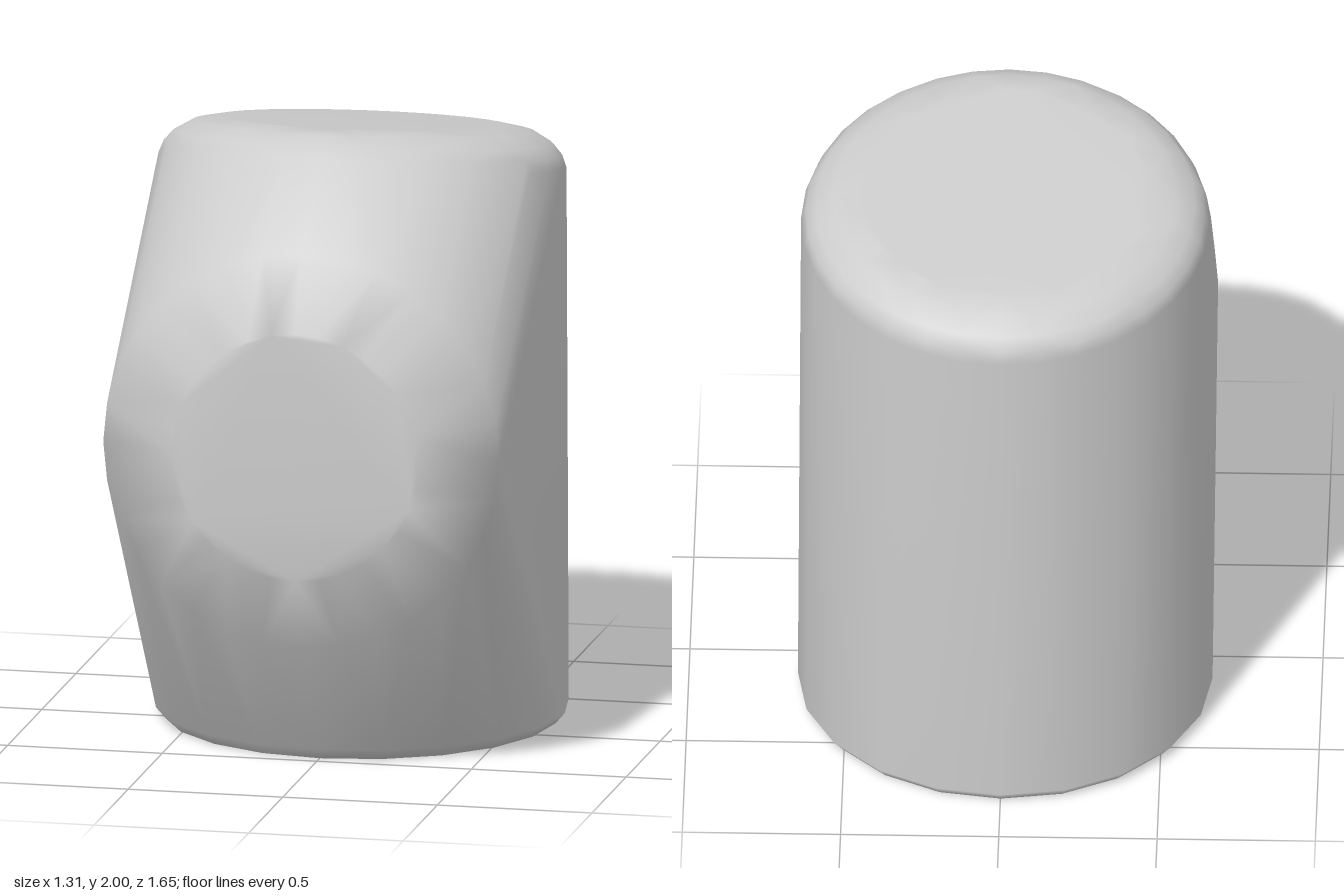
import * as THREE from 'three';
import { ConvexGeometry } from 'three/addons/geometries/ConvexGeometry.js';
import { mergeVertices } from 'three/addons/utils/BufferGeometryUtils.js';

// Circle of points around a centre, spanned by x and a forward direction in the yz plane
function ring(radius, segments, y, z, forwardY, forwardZ) {
  return Array.from({ length: segments }, (_, i) => {
    const a = (i / segments) * Math.PI * 2;
    const f = Math.cos(a) * radius;
    return new THREE.Vector3(Math.sin(a) * radius, y + f * forwardY, z + f * forwardZ);
  });
}

export function createModel() {
  const group = new THREE.Group();
  const points = [];

  // Upright round base with a small chamfer
  for (const [r, y] of [[0.625, 0], [0.655, 0.035]]) points.push(...ring(r, 20, y, -0.167, 0, 1));

  // Tilted round cap with a soft rim: [radius, depth below the cap plane]
  const tilt = 0.168, c = Math.cos(tilt), s = Math.sin(tilt);
  for (const [r, d] of [[0.46, 0], [0.54, 0.015], [0.6, 0.05], [0.63, 0.085], [0.645, 0.125]]) {
    points.push(...ring(r, 32, 1.92 - d * c, -0.19 + d * s, s, c));
  }

  // Forward-facing round nose: [radius, z]
  for (const [r, z] of [[0.4, 0.825], [0.64, 0.73], [0.655, 0.55]]) points.push(...ring(r, 32, 1.06, z, 1, 0));

  // One skin stretched over all three discs, with smooth normals
  const hull = new ConvexGeometry(points);
  hull.deleteAttribute('normal');
  const skin = mergeVertices(hull, 1e-4);
  skin.computeVertexNormals();

  const body = new THREE.Mesh(skin, new THREE.MeshStandardMaterial({ color: 0xcccccc }));
  body.name = 'body';
  group.add(body);
  return group;
}
